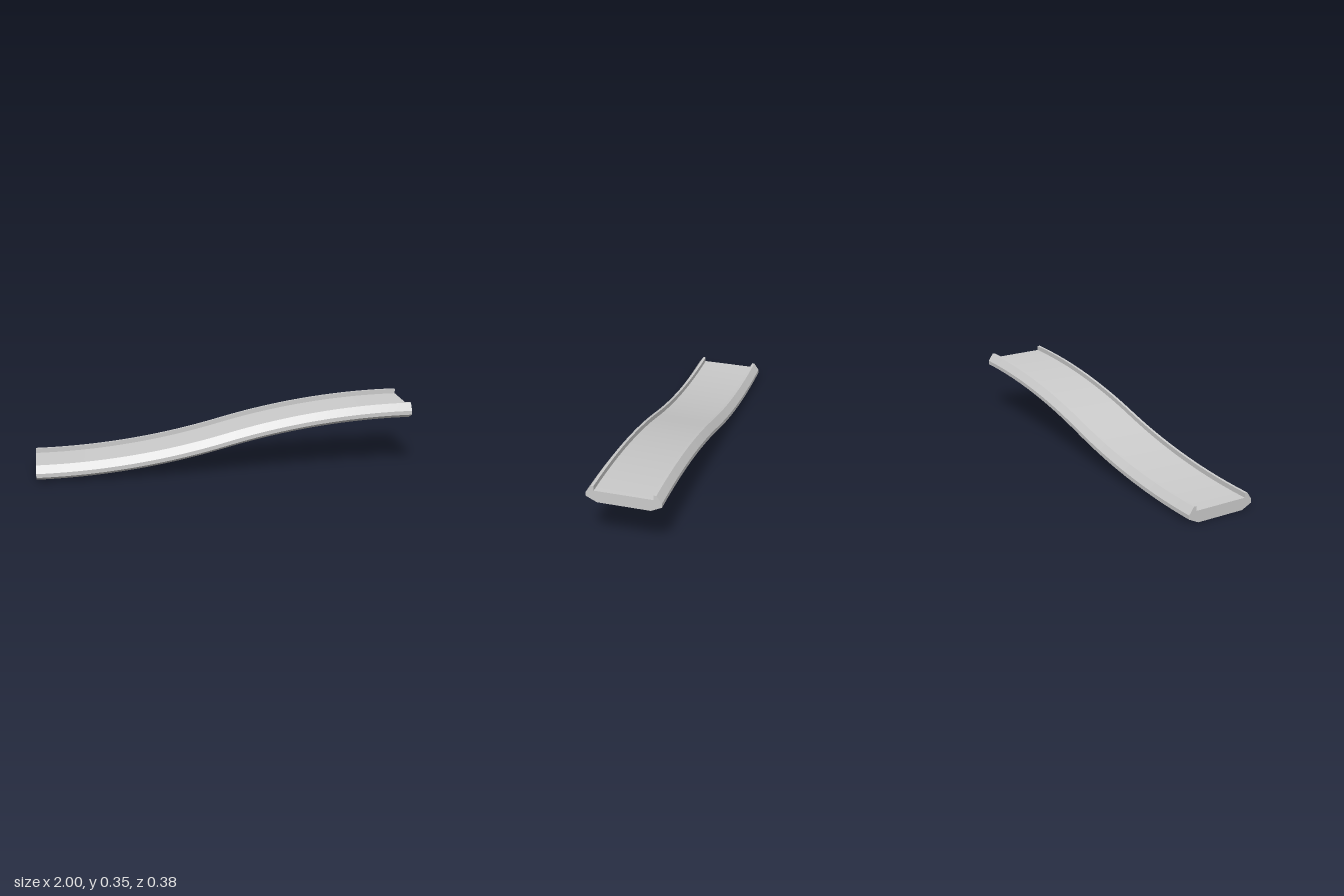
import * as THREE from 'three';
import { toCreasedNormals } from 'three/addons/utils/BufferGeometryUtils.js';

const RISE = 0.262;

// Two mirrored circular arcs meeting at x = 0, level at both ends.
function trackHeight(x) {
  const half = RISE / 2;
  const radius = (1 + half * half) / (2 * half);
  const d = 1 - Math.abs(x);
  const sag = radius - Math.sqrt(radius * radius - d * d);
  return x < 0 ? sag : RISE - sag;
}

export function createModel() {
  const group = new THREE.Group();
  group.name = 'curvedTrack';

  // Half of the channel section, from the bottom up to the inner floor corner
  const half = [
    [0.133, 0], [0.188, 0.027], [0.188, 0.048],
    [0.161, 0.087], [0.147, 0.087], [0.147, 0.062],
  ];
  const mirrored = half.map(([z, y]) => [-z, y]).reverse();
  const section = new THREE.Shape([...half, ...mirrored].map(([z, y]) => new THREE.Vector2(z, y)));

  // Sweep the section along x and lift it along the S-curve
  const geometry = new THREE.ExtrudeGeometry(section, { depth: 2, steps: 40, bevelEnabled: false });
  geometry.rotateY(Math.PI / 2).translate(-1, 0, 0);
  const position = geometry.attributes.position;
  for (let i = 0; i < position.count; i++) {
    position.setY(i, position.getY(i) + trackHeight(position.getX(i)));
  }

  const track = new THREE.Mesh(
    toCreasedNormals(geometry, 0.35),
    new THREE.MeshStandardMaterial({ color: 0xcccccc }),
  );
  track.name = 'railedTrack';
  group.add(track);
  return group;
}
